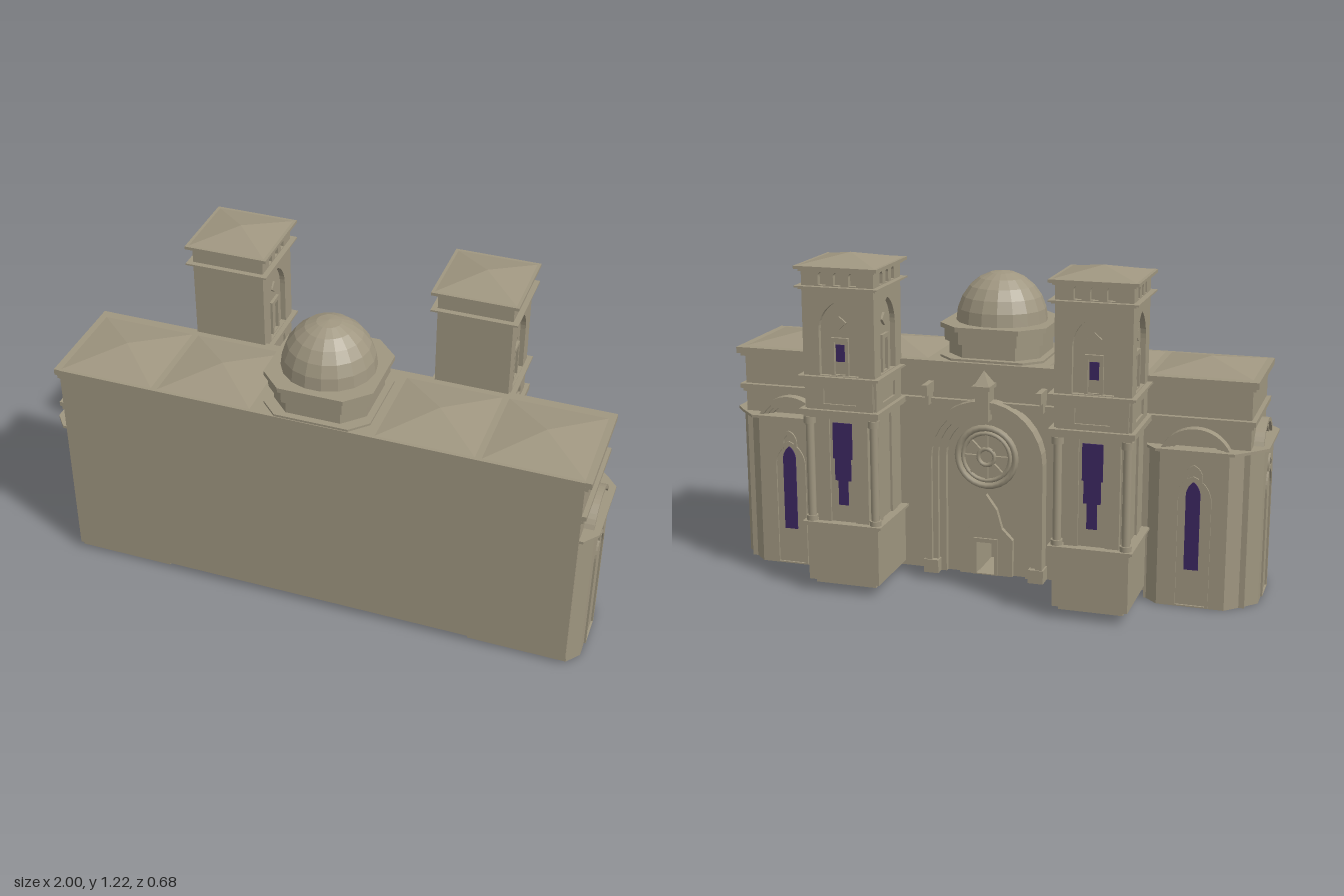
import * as THREE from 'three';

const stone = new THREE.MeshStandardMaterial({ color: 0x9f9680 });
stone.name = 'stone';
const glass = new THREE.MeshStandardMaterial({ color: 0x3c2760 });
glass.name = 'violetGlass';

function add(parent, name, geo, mat = stone) {
  const m = new THREE.Mesh(geo, mat);
  m.name = name;
  parent.add(m);
  return m;
}
// Box given by its limits
function box(parent, name, x0, x1, y0, y1, z0, z1, mat = stone) {
  const g = new THREE.BoxGeometry(Math.abs(x1 - x0), y1 - y0, z1 - z0);
  g.translate((x0 + x1) / 2, (y0 + y1) / 2, (z0 + z1) / 2);
  return add(parent, name, g, mat);
}
// Same winding for every outline and hole, so that hole walls face inwards
const ccw = (p) => (THREE.ShapeUtils.isClockWise(p) ? [...p].reverse() : p);
const points = (list) => list.map((p) => new THREE.Vector2(...p));
// Panel with holes, from depth z0 to z1
function panel(parent, name, outline, holes, z0, z1, mat = stone) {
  const s = new THREE.Shape(ccw(outline));
  holes.forEach((h) => s.holes.push(new THREE.Path(ccw(h))));
  const g = new THREE.ExtrudeGeometry(s, { depth: z1 - z0, bevelEnabled: false });
  return add(parent, name, g.translate(0, 0, z0), mat);
}
// Upright prism from a plan of [x, z] points, optionally hollow
function prism(parent, name, plan, y0, y1, hole) {
  const v = (p) => points(p.map(([x, z]) => [x, -z]));
  const m = panel(parent, name, v(plan), hole ? [v(hole)] : [], y0, y1);
  m.geometry.rotateX(-Math.PI / 2);
  return m;
}
// Low pyramid roof on a rectangle
function pyramid(parent, name, x, z, w, d, y0, y1) {
  const g = new THREE.ConeGeometry(Math.SQRT1_2, 1, 4, 1).rotateY(Math.PI / 4).toNonIndexed();
  g.scale(w, y1 - y0, d).translate(x, (y0 + y1) / 2, z);
  g.computeVertexNormals();
  return add(parent, name, g);
}
// Group on a wall: local +z points out of the wall
function face(parent, name, x, z, turn) {
  const f = new THREE.Group();
  f.name = name;
  f.position.set(x, 0, z);
  f.rotation.y = turn;
  parent.add(f);
  return f;
}
const rect = (x0, x1, y0, y1) => points([[x0, y0], [x1, y0], [x1, y1], [x0, y1]]);
// Arched outline; rise above the half width makes it pointed
function arch(w, y0, spring, rise, x = 0) {
  const p = points([[x - w, y0], [x + w, y0]]);
  const R = (w * w + rise * rise) / (2 * w), a = Math.asin(Math.min(1, rise / R));
  for (let i = 0; i <= 8; i++) p.push(new THREE.Vector2(x + w - R + R * Math.cos(a * i / 8), spring + R * Math.sin(a * i / 8)));
  for (let i = 7; i >= 0; i--) p.push(new THREE.Vector2(x - w + R - R * Math.cos(a * i / 8), spring + R * Math.sin(a * i / 8)));
  return p;
}
// Archway moulding open at the bottom
function archway(parent, name, wOut, wIn, y0, spring, z0, z1) {
  const o = arch(wOut, y0, spring, wOut), i = arch(wIn, y0, spring, wIn);
  panel(parent, name, [...o.slice(1), o[0], i[0], ...i.slice(1).reverse()], [], z0, z1);
}

function tower(parent, cx) {
  const t = new THREE.Group();
  t.name = 'tower';
  t.position.set(cx, 0, -0.188);
  parent.add(t);
  const plan = (h, front) => [[-h, -h], [h, -h], [h, front], [-h, front]];
  const slab = (name, h, y0, y1) => box(t, name, -h, h, y0, y1, -h, h);
  // Hollow plinth
  prism(t, 'plinth', plan(0.133, 0.148), 0.045, 0.25, plan(0.12, 0.14));
  prism(t, 'plinthFoot', plan(0.114, 0.145), 0.028, 0.045, plan(0.106, 0.14));
  slab('plinthLedge', 0.14, 0.25, 0.258);
  slab('plinthLedgeTop', 0.148, 0.258, 0.267);
  slab('shaft', 0.1, 0.26, 0.66);
  box(t, 'naveJoint', -0.118, 0.118, 0.25, 0.82, 0.09, 0.15);
  slab('lowerCornice', 0.137, 0.65, 0.66);
  slab('lowerCorniceTop', 0.148, 0.66, 0.68);
  slab('frieze', 0.125, 0.68, 0.79);
  slab('middleCornice', 0.14, 0.785, 0.792);
  slab('middleCorniceTop', 0.15, 0.792, 0.8);
  slab('belfryCore', 0.113, 0.8, 1.17);
  box(t, 'belfryFrontWall', -0.132, 0.132, 0.8, 1.17, 0.105, 0.132);
  slab('belfryLedge', 0.142, 1.103, 1.109);
  slab('belfryLedgeTop', 0.152, 1.109, 1.115);
  slab('topCornice', 0.14, 1.165, 1.173);
  slab('topCorniceEdge', 0.152, 1.173, 1.184);
  pyramid(t, 'towerRoof', 0, 0, 0.282, 0.282, 1.184, 1.216);
  // Corner columns
  for (const sx of [-1, 1]) {
    for (const [y0, y1, r] of [[0.267, 0.285, 0.021], [0.285, 0.625, 0.015], [0.625, 0.65, 0.022]]) {
      const g = new THREE.CylinderGeometry(r, r, y1 - y0, 12);
      add(t, 'cornerColumn', g.translate(sx * 0.12, (y0 + y1) / 2, -0.12));
    }
  }
  // Three decorated sides
  [Math.PI, Math.PI / 2, -Math.PI / 2].forEach((turn, k) => {
    const f = face(t, 'towerSide', 0, 0, turn);
    for (const s of [-1, 1]) box(f, 'pilaster', s * 0.047, s * 0.096, 0.267, 0.65, 0.095, 0.122);
    box(f, 'shaftPanel', -0.047, 0.047, 0.267, 0.65, 0.095, 0.114);
    panel(f, 'friezePanel', rect(-0.123, 0.123, 0.68, 0.787), [rect(-0.06, 0.06, 0.7, 0.755)], 0.12, 0.133);
    panel(f, 'belfryWall', rect(-0.132, 0.132, 0.8, 1.105), [arch(0.072, 0.802, 0.96, 0.105)], 0.1, 0.132);
    panel(f, 'belfryWindowFrame', rect(-0.032, 0.032, 0.8, 0.935), [rect(-0.02, 0.02, 0.805, 0.92)], 0.11, 0.124);
    panel(f, 'diamond', points([[0, 0.965], [0.025, 0.988], [0, 1.01], [-0.025, 0.988]]), [], 0.11, 0.122);
    const slots = [-1, 0, 1].map((i) => arch(0.014, 1.118, 1.15, 0.014, i * 0.056));
    panel(f, 'belfryArcade', rect(-0.132, 0.132, 1.115, 1.168), slots, 0.11, 0.132);
    if (k === 0) {
      box(f, 'windowTop', -0.036, 0.036, 0.5, 0.63, 0.113, 0.118, glass);
      box(f, 'windowMiddle', -0.03, 0.03, 0.42, 0.5, 0.113, 0.118, glass);
      box(f, 'windowBottom', -0.018, 0.018, 0.33, 0.42, 0.113, 0.118, glass);
      box(f, 'belfryWindow', -0.016, 0.016, 0.85, 0.91, 0.113, 0.117, glass);
    }
  });
}

// Blind lancet and arched gable of an end bay
function bayFace(f, glazed) {
  panel(f, 'windowSurround', arch(0.064, 0.005, 0.39, 0.09), [arch(0.052, 0.008, 0.39, 0.075)], 0, 0.007);
  panel(f, 'windowHood', arch(0.032, 0.46, 0.475, 0.045), [arch(0.02, 0.465, 0.475, 0.03)], 0, 0.007);
  if (glazed) panel(f, 'bayWindow', arch(0.025, 0.14, 0.41, 0.05), [], 0, 0.005, glass);
  const seg = (R, c) => {
    const a = Math.asin((0.573 - c) / R), p = [];
    for (let i = 0; i <= 16; i++) {
      const b = a + (Math.PI - 2 * a) * i / 16;
      p.push(new THREE.Vector2(R * Math.cos(b), c + R * Math.sin(b)));
    }
    return p;
  };
  const band = (name, R, r, z1) => panel(f, name, [...seg(R, 0.512), ...seg(r, 0.512).reverse()], [], -0.045, z1);
  band('gableArch', 0.134, 0.12, -0.005);
  band('gableArchInner', 0.122, 0.108, -0.015);
  band('gableArchCore', 0.11, 0.097, -0.025);
}

function wing(parent, s) {
  const w = new THREE.Group();
  w.name = 'endWing';
  parent.add(w);
  const m = (p) => p.map(([x, z]) => [x * s, z]);
  // Hollow bay with chamfered corners
  const plan = [[0.58, 0.315], [0.94, 0.315], [0.98, 0.266], [0.98, 0.022], [0.94, -0.02], [0.94, -0.04],
    [0.92, -0.04], [0.875, -0.083], [0.635, -0.083], [0.59, -0.04], [0.58, -0.04]];
  const inner = [[0.59, 0.305], [0.935, 0.305], [0.972, 0.262], [0.972, 0.026], [0.93, -0.015],
    [0.872, -0.074], [0.638, -0.074], [0.59, -0.028]];
  prism(w, 'bayWalls', m(plan), 0, 0.567, m(inner));
  prism(w, 'bayCap', m([[0.58, 0.333], [0.955, 0.333], [0.998, 0.28], [0.998, 0.01], [0.96, -0.035], [0.94, -0.055],
    [0.895, -0.1], [0.62, -0.1], [0.585, -0.06], [0.58, -0.04]]), 0.564, 0.574);
  box(w, 'upperWall', s * 0.57, s * 0.94, 0.57, 0.82, -0.04, 0.334);
  bayFace(face(w, 'sideBay', s * 0.98, 0.144, s * Math.PI / 2), false);
  bayFace(face(w, 'rearBay', s * 0.755, -0.083, Math.PI), true);
}

function portal(parent) {
  const f = face(parent, 'portal', 0, 0, Math.PI);
  // Stepped arch mouldings
  archway(f, 'outerArch', 0.22, 0.195, 0.03, 0.47, 0.035, 0.095);
  archway(f, 'middleArch', 0.197, 0.175, 0.03, 0.47, 0.035, 0.08);
  archway(f, 'innerArch', 0.177, 0.15, 0.03, 0.47, 0.035, 0.062);
  for (const s of [-1, 1]) box(f, 'archFoot', s * 0.17, s * 0.226, 0.03, 0.08, 0.035, 0.1);
  // Rose window with spokes
  for (const [r, t] of [[0.108, 0.012], [0.088, 0.008], [0.03, 0.008]]) {
    add(f, 'roseRing', new THREE.TorusGeometry(r, t, 6, 28).translate(0, 0.475, 0.052));
  }
  for (let i = 0; i < 8; i++) {
    const g = new THREE.BoxGeometry(0.01, 0.06, 0.012).translate(0, 0.06, 0).rotateZ(i * Math.PI / 4);
    add(f, 'roseSpoke', g.translate(0, 0.475, 0.05));
  }
  // Door with gabled surround
  const gable = [[-0.1, 0.03], [0.1, 0.03], [0.1, 0.17], [0.06, 0.21], [0.04, 0.28], [0, 0.335], [-0.04, 0.28], [-0.06, 0.21], [-0.1, 0.17]];
  panel(f, 'doorSurround', points(gable), [rect(-0.036, 0.036, 0.035, 0.16)], 0.035, 0.06);
  panel(f, 'doorFrame', rect(-0.046, 0.046, 0.032, 0.17), [rect(-0.034, 0.034, 0.036, 0.155)], 0.035, 0.068);
  // Keystone ornament
  box(f, 'keystone', -0.024, 0.024, 0.62, 0.735, 0.035, 0.112);
  box(f, 'keystoneCap', -0.033, 0.033, 0.735, 0.75, 0.035, 0.122);
  pyramid(f, 'keystoneTop', 0, 0.08, 0.055, 0.07, 0.75, 0.8);
  // Scroll brackets beside the cornice
  for (const s of [-1, 1]) {
    box(f, 'bracket', s * 0.2, s * 0.22, 0.7, 0.74, 0.035, 0.12);
    box(f, 'bracketFoot', s * 0.205, s * 0.218, 0.66, 0.7, 0.035, 0.09);
  }
}

export function createModel() {
  const root = new THREE.Group();
  root.name = 'church';

  // Nave, open underneath, with a doorway in its rear wall
  box(root, 'frontWall', -0.94, 0.94, 0.028, 0.82, 0.316, 0.335);
  box(root, 'naveCeiling', -0.58, 0.58, 0.79, 0.82, -0.04, 0.33);
  panel(face(root, 'rearWall', 0, 0, Math.PI), 'rearWallPanel', rect(-0.58, 0.58, 0.028, 0.82), [rect(-0.034, 0.034, 0.032, 0.155)], 0.02, 0.04);
  // Entrance passage behind the door
  const passage = face(root, 'entrancePassage', 0, 0, 0);
  panel(passage, 'passageWalls', rect(-0.042, 0.042, 0.022, 0.165), [rect(-0.034, 0.034, 0.032, 0.155)], -0.02, 0.12);
  box(passage, 'passageEnd', -0.042, 0.042, 0.022, 0.165, 0.12, 0.13);

  // Cornices around the sides and rear
  for (const [name, e, y0, y1] of [['lowerString', 0.01, 0.65, 0.663], ['lowerStringEdge', 0.02, 0.663, 0.68],
    ['eavesMoulding', 0.015, 0.785, 0.797], ['eaves', 0.028, 0.797, 0.82]]) {
    const x = 0.94 + e * 0.8, z = -0.04 - e;
    prism(root, name, [[-x, z], [x, z], [x, 0.333], [-x, 0.333]], y0, y1, [[-0.57, -0.03], [0.57, -0.03], [0.57, 0.325], [-0.57, 0.325]]);
  }

  // Roofs
  for (const x of [-0.765, -0.397, 0.397, 0.765]) pyramid(root, 'roof', x, 0.145, 0.345, 0.355, 0.82, 0.856);

  // Chamfered drum and dome
  const chamfered = (h, c) => [[h - c, h], [h, h - c], [h, c - h], [h - c, -h], [c - h, -h], [-h, c - h], [-h, h - c], [c - h, h]]
    .map(([x, z]) => [x, z + 0.14]);
  prism(root, 'drumBase', chamfered(0.192, 0.06), 0.81, 0.828);
  prism(root, 'drum', chamfered(0.168, 0.07), 0.82, 0.885);
  prism(root, 'drumCornice', chamfered(0.183, 0.075), 0.878, 0.925);
  prism(root, 'drumCorniceEdge', chamfered(0.196, 0.08), 0.925, 0.942);
  const dome = new THREE.SphereGeometry(0.166, 18, 6, 0, Math.PI * 2, 0, Math.PI / 2).toNonIndexed();
  dome.scale(1, 1.08, 1).translate(0, 0.941, 0.142);
  dome.computeVertexNormals();
  add(root, 'dome', dome);

  portal(root);
  for (const s of [-1, 1]) {
    wing(root, s);
    tower(root, s * 0.45);
  }
  return root;
}
